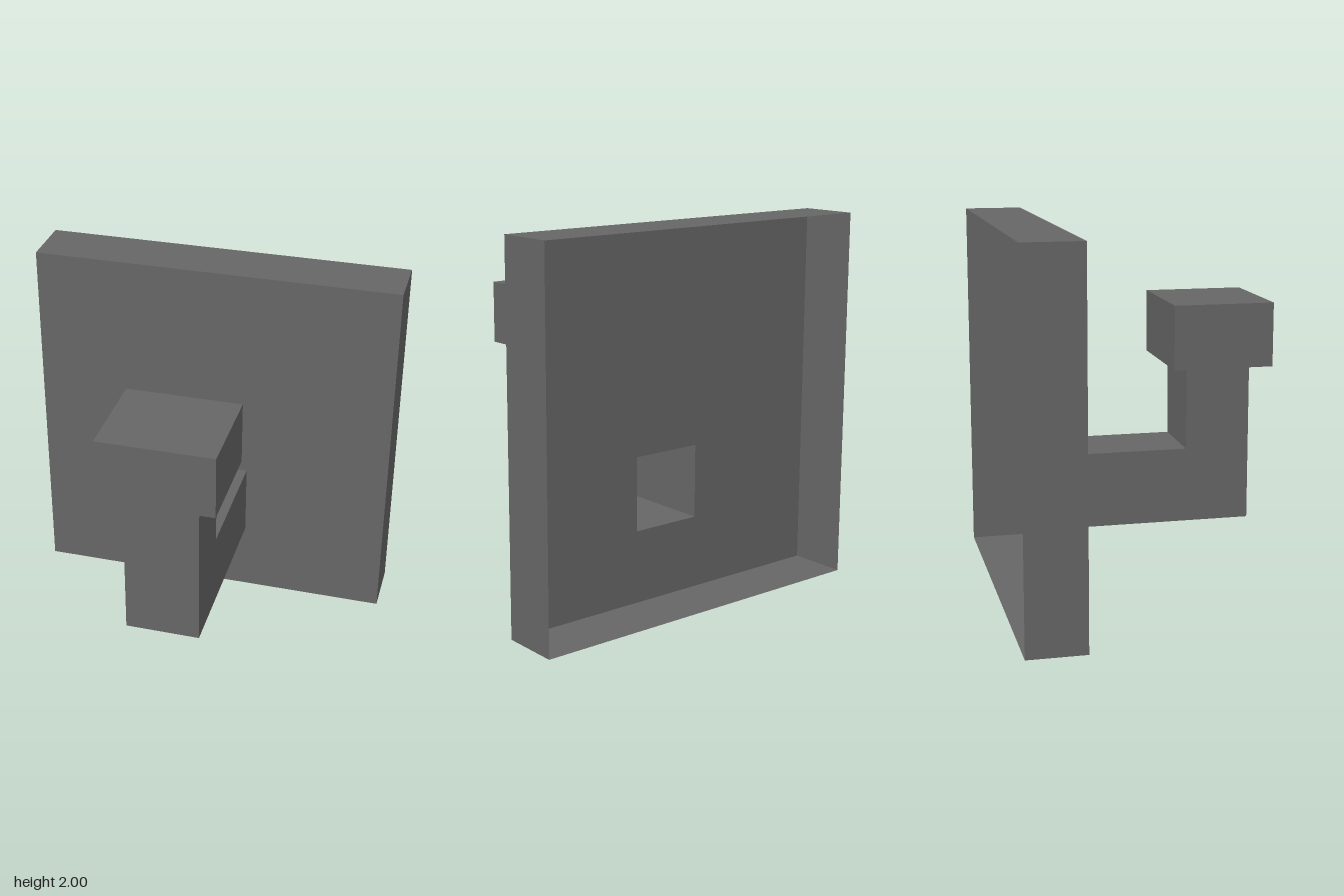
import * as THREE from 'three';

// Rectangular cross-section: half width, then [y, z] of its lower/front and upper/back edges
const section = (w, lo, hi) => [[-w, ...lo], [w, ...lo], [w, ...hi], [-w, ...hi]];

// Flat-sided hollow shell through a series of sections, optionally closed at the end
function shell(name, sections, material, capped = false) {
  const positions = [];
  const quad = (a, b, c, d) => positions.push(...a, ...b, ...c, ...a, ...c, ...d);
  for (let s = 0; s < sections.length - 1; s++) {
    const a = sections[s], b = sections[s + 1];
    for (let i = 0; i < 4; i++) {
      const j = (i + 1) % 4;
      quad(a[i], a[j], b[j], b[i]);
    }
  }
  if (capped) quad(...sections[sections.length - 1]);
  const geometry = new THREE.BufferGeometry();
  geometry.setAttribute('position', new THREE.Float32BufferAttribute(positions, 3));
  geometry.computeVertexNormals();
  const mesh = new THREE.Mesh(geometry, material);
  mesh.name = name;
  return mesh;
}

export function createModel() {
  const group = new THREE.Group();
  group.name = 'wallHook';
  const grey = new THREE.MeshStandardMaterial({ color: 0x666666, side: THREE.DoubleSide });
  grey.name = 'dark grey';

  const armRoot = section(0.2, [0.395, -0.41], [0.795, -0.41]);
  const armElbow = section(0.2, [0.395, 0.63], [0.795, 0.285]);
  const armTop = section(0.2, [1.245, 0.63], [1.245, 0.285]);

  group.add(
    // Open-backed plate whose front face surrounds the arm opening
    shell('backPlate', [
      section(1, [0, -0.725], [2, -0.725]),
      section(1, [0, -0.41], [2, -0.41]),
      armRoot,
    ], grey),
    // Hollow arm, mitred at the elbow
    shell('arm', [armRoot, armElbow, armTop], grey),
    // Wider block on the upright end
    shell('head', [
      armTop,
      section(0.308, [1.245, 0.725], [1.245, 0.19]),
      section(0.308, [1.585, 0.725], [1.585, 0.19]),
    ], grey, true),
  );
  return group;
}
